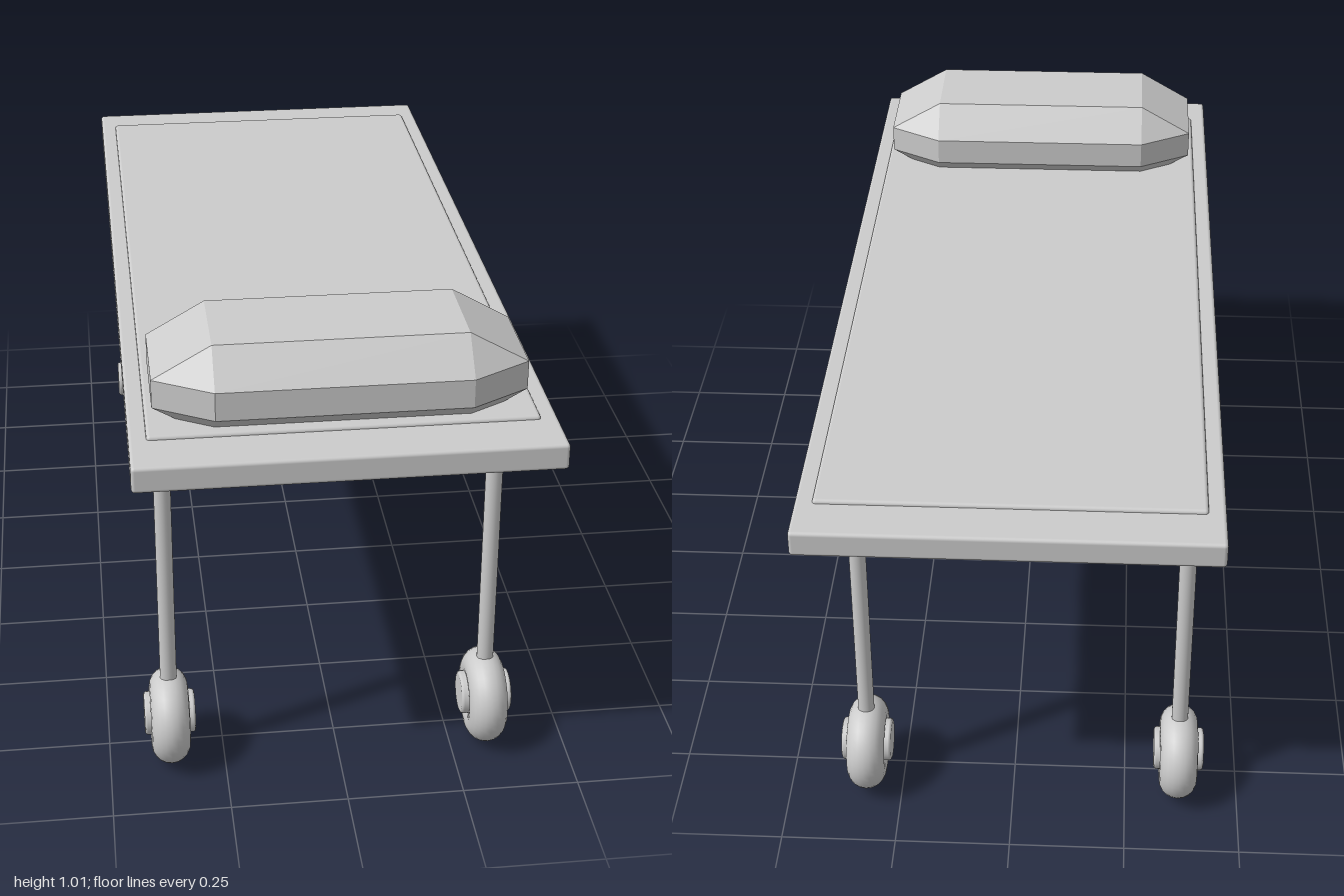
import * as THREE from 'three';
import { RoundedBoxGeometry } from 'three/addons/geometries/RoundedBoxGeometry.js';
import { ConvexGeometry } from 'three/addons/geometries/ConvexGeometry.js';

const smooth = new THREE.MeshStandardMaterial({ color: 0xcccccc });
const faceted = new THREE.MeshStandardMaterial({ color: 0xcccccc, flatShading: true });

function add(parent, name, geometry, x, y, z, material = smooth) {
  const mesh = new THREE.Mesh(geometry, material);
  mesh.name = name;
  mesh.position.set(x, y, z);
  parent.add(mesh);
  return mesh;
}

// Box with every edge chamfered: each core corner is pushed out along one axis at a time
function chamferedBox(hx, hy, hz, cx, cy, cz) {
  const points = [];
  for (const sx of [-1, 1]) for (const sy of [-1, 1]) for (const sz of [-1, 1]) {
    points.push(
      new THREE.Vector3(sx * hx, sy * (hy - cy), sz * (hz - cz)),
      new THREE.Vector3(sx * (hx - cx), sy * hy, sz * (hz - cz)),
      new THREE.Vector3(sx * (hx - cx), sy * (hy - cy), sz * hz));
  }
  return new ConvexGeometry(points);
}

// Hub: short drum with softened rims, turned about the x axis
function hubGeometry(radius, half, bevel) {
  const profile = [
    [0, -half], [radius - bevel, -half], [radius - bevel, -half],
    [radius - bevel * 0.3, -half + bevel * 0.3],
    [radius, -half + bevel], [radius, half - bevel],
    [radius - bevel * 0.3, half - bevel * 0.3],
    [radius - bevel, half], [radius - bevel, half], [0, half],
  ].map(([r, y]) => new THREE.Vector2(r, y));
  return new THREE.LatheGeometry(profile, 32).rotateZ(Math.PI / 2);
}

export function createModel() {
  const model = new THREE.Group();
  model.name = 'wheeledBed';

  // Bed top
  add(model, 'deck', new RoundedBoxGeometry(0.868, 0.057, 2, 2, 0.008), 0, 0.8115, 0);
  add(model, 'mattress', new RoundedBoxGeometry(0.796, 0.03, 1.79, 2, 0.008), 0, 0.833, -0.005);

  // Pillow, its lower chamfer sunk into the mattress
  add(model, 'pillow', chamferedBox(0.383, 0.102, 0.176, 0.123, 0.071, 0.071), 0, 0.906, 0.714, faceted);

  // Legs with wheels
  const legGeometry = new THREE.CylinderGeometry(0.018, 0.018, 0.69, 24);
  const tyreGeometry = new THREE.TorusGeometry(0.063, 0.042, 20, 40).rotateY(Math.PI / 2);
  const hub = hubGeometry(0.047, 0.055, 0.006);
  for (const [side, x] of [['Left', 0.327], ['Right', -0.367]]) {
    for (const [end, z] of [['front', 0.8], ['back', -0.8]]) {
      const unit = new THREE.Group();
      unit.name = `${end}${side}Leg`;
      unit.position.set(x, 0, z);
      model.add(unit);
      add(unit, 'post', legGeometry, 0, 0.455, 0);
      add(unit, 'tyre', tyreGeometry, 0, 0.107, 0);
      add(unit, 'hub', hub, 0, 0.115, 0);
    }
  }
  model.position.y = -0.002;
  return model;
}
